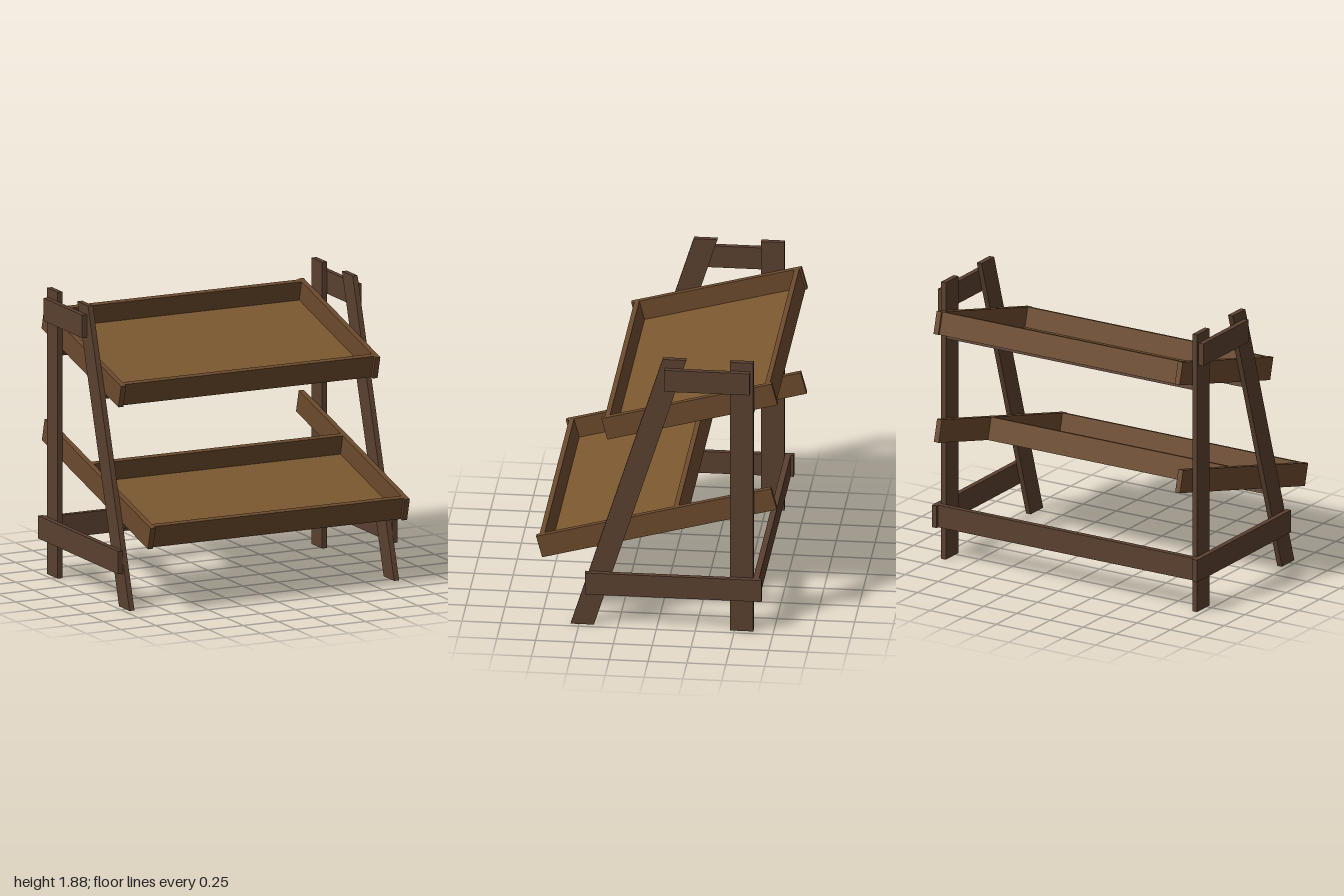
import * as THREE from 'three';

const paint = (color) => new THREE.MeshStandardMaterial({ color, flatShading: true });
const frameWood = paint(0x5a4030);
const trayWood = paint(0x6b4a2d);
const floorWood = paint(0x7a5830);

// Box given by its limits on each axis
function board(parent, name, material, [x0, x1], [y0, y1], [z0, z1]) {
  const mesh = new THREE.Mesh(new THREE.BoxGeometry(x1 - x0, y1 - y0, z1 - z0), material);
  mesh.position.set((x0 + x1) / 2, (y0 + y1) / 2, (z0 + z1) / 2);
  mesh.name = name;
  parent.add(mesh);
  return mesh;
}

// Sloping tray: origin at the lower front edge, running back along -z
function tray(name, y, z, length, backEnd, battens) {
  const group = new THREE.Group();
  group.name = name;
  group.position.set(0, y, z);
  group.rotation.x = THREE.MathUtils.degToRad(15);
  const h = 0.15, t = 0.034, inset = 0.02, inner = 0.892;
  for (const [side, x] of [['left', [inner, 0.928]], ['right', [-0.928, -inner]]]) {
    board(group, side + 'TraySide', trayWood, x, [0, h], [-length, 0]);
  }
  const across = [-inner, inner];
  board(group, 'trayFront', trayWood, across, [0, h], [-inset - t, -inset]);
  board(group, 'trayBack', trayWood, across, [0, h], [-backEnd, -backEnd + t]);
  board(group, 'trayFloor', floorWood, across, [0.002, 0.018], [-backEnd + t, -inset - t]);
  // Cross battens under the tray, between the legs
  for (const s of battens) {
    board(group, 'crossBatten', frameWood, [-0.928, 0.928], [-0.035, 0], [-s - 0.15, -s]);
  }
  return group;
}

// Leaning front leg, cut level at the floor and the top
function frontLeg(x0, x1) {
  const shape = new THREE.Shape();
  shape.moveTo(-0.555, 0);
  shape.lineTo(-0.405, 0);
  shape.lineTo(0.19, 1.88);
  shape.lineTo(0.037, 1.88);
  shape.closePath();
  const geometry = new THREE.ExtrudeGeometry(shape, { depth: x1 - x0, bevelEnabled: false });
  geometry.rotateY(Math.PI / 2);
  geometry.translate(x0, 0, 0);
  const mesh = new THREE.Mesh(geometry, frameWood);
  mesh.name = 'frontLeg';
  return mesh;
}

export function createModel() {
  const model = new THREE.Group();
  model.name = 'tieredDisplayStand';

  // Side frames
  for (const side of [1, -1]) {
    const frame = new THREE.Group();
    frame.name = side > 0 ? 'leftFrame' : 'rightFrame';
    const span = (a, b) => (side > 0 ? [a, b] : [-b, -a]);
    const legX = span(0.93, 0.965), railX = span(0.965, 1);
    frame.add(frontLeg(...legX));
    board(frame, 'backLeg', frameWood, legX, [0, 1.88], [-0.62, -0.47]);
    board(frame, 'lowerSideRail', frameWood, railX, [0.225, 0.375], [-0.677, 0.46]);
    board(frame, 'upperSideRail', frameWood, railX, [1.67, 1.82], [-0.6, -0.053]);
    model.add(frame);
  }

  // Rail joining the back legs
  board(model, 'backRail', frameWood, [-0.965, 0.965], [0.225, 0.375], [-0.658, -0.62]);

  model.add(tray('upperTray', 1.285, 0.322, 1.133, 1.12, [0.193, 0.814]));
  model.add(tray('lowerTray', 0.44, 0.742, 1.563, 0.947, [0.363]));
  return model;
}
